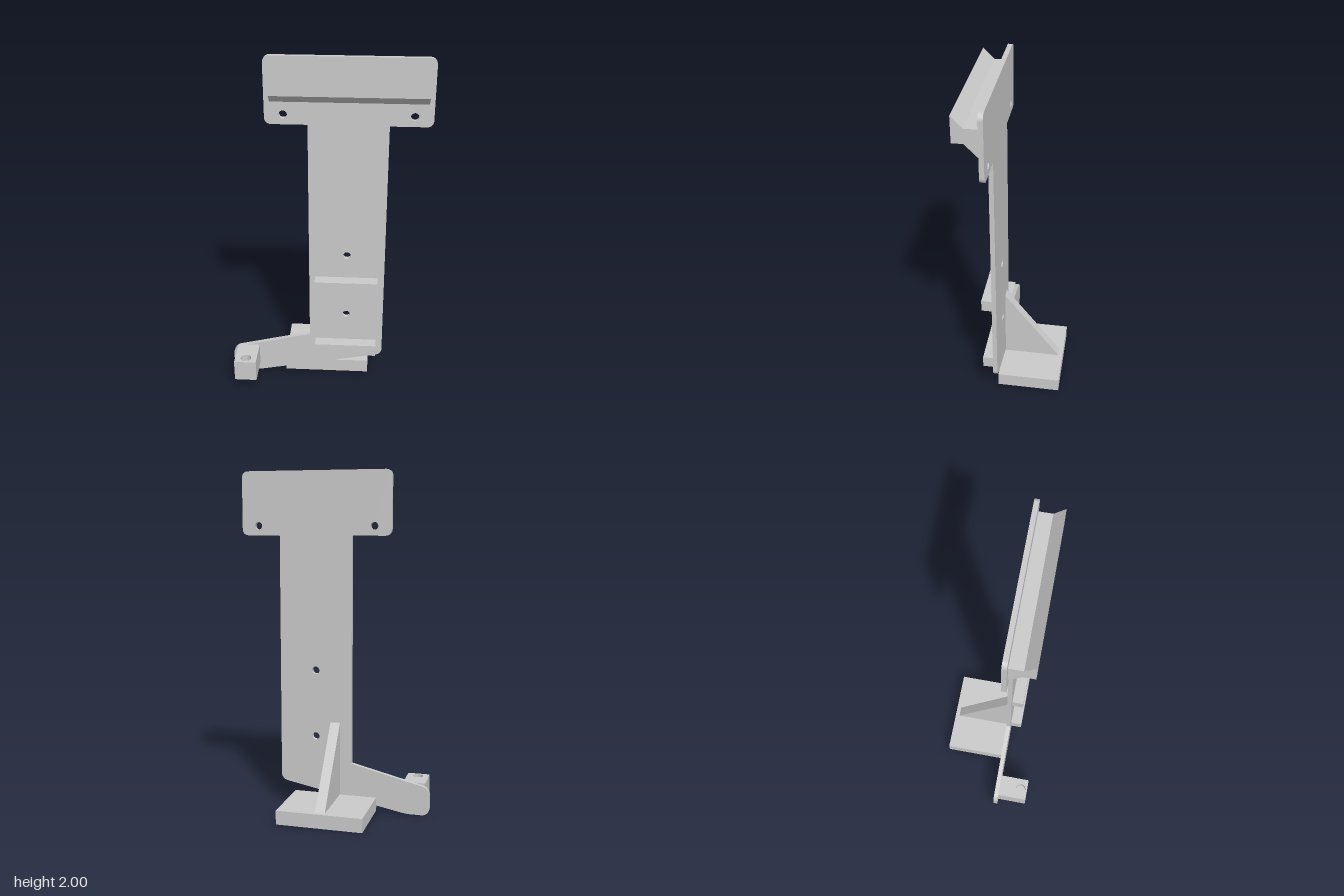
import * as THREE from 'three';

const BACK = 0.077, FRONT = 0.103; // z range of the upright plate

export function createModel() {
  const group = new THREE.Group();
  const mat = new THREE.MeshStandardMaterial({ color: 0xcccccc });

  const add = (name, geo, x = 0, y = 0, z = 0) => {
    const mesh = new THREE.Mesh(geo, mat);
    mesh.name = name;
    mesh.position.set(x, y, z);
    group.add(mesh);
    return mesh;
  };
  // box given by its extents
  const box = (name, x0, x1, y0, y1, z0, z1) =>
    add(name, new THREE.BoxGeometry(x1 - x0, y1 - y0, z1 - z0), (x0 + x1) / 2, (y0 + y1) / 2, (z0 + z1) / 2);
  const extrude = (shape, depth) =>
    new THREE.ExtrudeGeometry(shape, { depth, bevelEnabled: false, curveSegments: 12 });
  const drill = (shape, x, y, r) => {
    const hole = new THREE.Path();
    hole.absarc(x, y, r, 0, Math.PI * 2, true);
    shape.holes.push(hole);
  };
  // polygon of [x, y, corner setback]
  const roundedPolygon = (points) => {
    const shape = new THREE.Shape();
    const n = points.length;
    points.forEach(([x, y, r = 0], i) => {
      const p = new THREE.Vector2(x, y);
      const toward = (q) => new THREE.Vector2(q[0], q[1]).sub(p).setLength(r).add(p);
      const a = toward(points[(i + n - 1) % n]), b = toward(points[(i + 1) % n]);
      if (i === 0) shape.moveTo(a.x, a.y); else shape.lineTo(a.x, a.y);
      // cubic approximation of a circular fillet
      if (r) {
        const c = a.clone().lerp(p, 0.55), d = b.clone().lerp(p, 0.55);
        shape.bezierCurveTo(c.x, c.y, d.x, d.y, b.x, b.y);
      }
    });
    shape.closePath();
    return shape;
  };
  // (z, y) profile extruded along x
  const alongX = (name, profile, x0, x1) => {
    const mesh = add(name, extrude(roundedPolygon(profile.map(([z, y]) => [-z, y])), x1 - x0), x0);
    mesh.rotation.y = Math.PI / 2;
    return mesh;
  };

  // upright plate: wide head, column and slanted foot arm
  const plate = roundedPolygon([
    [-0.57, 0.005, 0.045], [-0.43, 0.005, 0.03], [0.335, 0.157, 0.035],
    [0.335, 1.63], [0.565, 1.63, 0.035], [0.565, 2, 0.035],
    [-0.33, 2, 0.035], [-0.33, 1.63, 0.035], [-0.1, 1.63],
    [-0.1, 0.285], [-0.57, 0.17, 0.045],
  ]);
  [[-0.23, 1.685], [0.465, 1.685], [0.118, 0.84], [0.118, 0.44]].forEach(([x, y]) => drill(plate, x, y, 0.022));
  add('uprightPlate', extrude(plate, FRONT - BACK), 0, 0, BACK);

  // hooked rail across the head
  alongX('headRail', [[FRONT, 1.755], [0.178, 1.83], [0.238, 1.83], [0.238, 1.972], [0.178, 1.91], [FRONT, 1.91]], -0.3, 0.537);

  // two cross ribs on the column
  [0.19, 0.625].forEach((y) => box('crossRib', -0.065, 0.297, y, y + 0.07, FRONT, 0.17));

  // base with triangular gusset and thin round pad
  box('base', -0.252, 0.252, 0.006, 0.088, -0.285, BACK + 0.01);
  alongX('gusset', [[BACK, 0.088], [BACK, 0.53], [-0.26, 0.088]], -0.03, 0.028);
  add('basePad', new THREE.CylinderGeometry(0.043, 0.043, 0.008, 32), 0, 0.004, -0.11);

  // socket block on the foot arm, in layers: lower hole, solid core, upper socket
  const layer = (name, y0, y1, r) => {
    const s = roundedPolygon([[-0.54, -0.282], [-0.41, -0.282], [-0.41, -FRONT], [-0.54, -FRONT]]);
    drill(s, -0.475, -0.24, r);
    add(name, extrude(s, y1 - y0), 0, y0, 0).rotation.x = -Math.PI / 2;
  };
  layer('socketBlockBottom', 0.063, 0.083, 0.014);
  box('socketBlockCore', -0.54, -0.41, 0.083, 0.15, FRONT, 0.282);
  layer('socketBlockTop', 0.15, 0.192, 0.031);

  return group;
}
